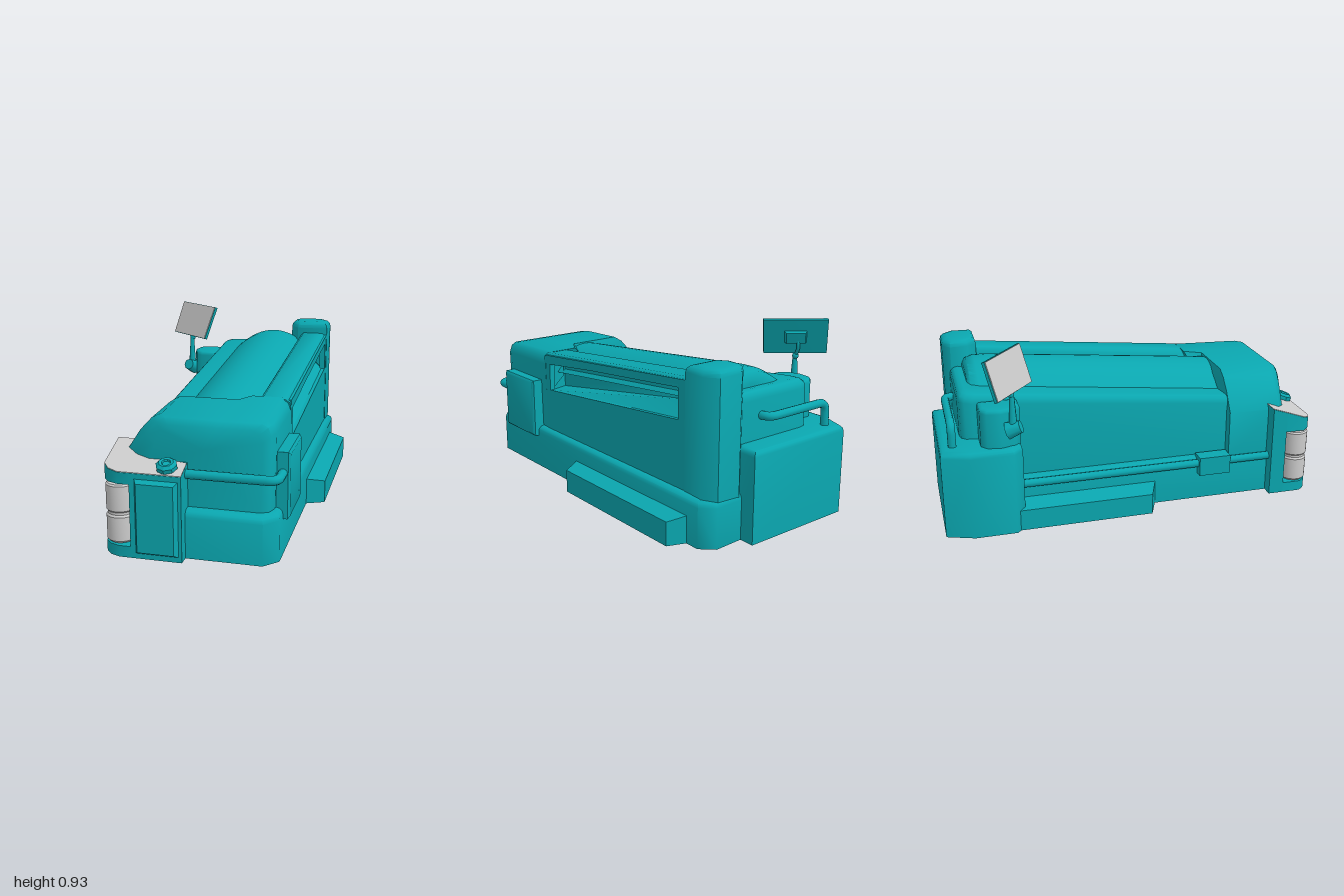
import * as THREE from 'three';
import { toCreasedNormals } from 'three/addons/utils/BufferGeometryUtils.js';

const teal = new THREE.MeshStandardMaterial({ color: 0x0aa6af, side: THREE.DoubleSide });
const grey = new THREE.MeshStandardMaterial({ color: 0xcccccc, side: THREE.DoubleSide });

// Skin joining closed rings of equal point count, with optional end caps
function loft(rings, capStart = true, capEnd = true) {
  const pos = [];
  const n = rings[0].length;
  const tri = (a, b, c) => pos.push(...a, ...b, ...c);
  for (let r = 0; r < rings.length - 1; r++) {
    for (let i = 0; i < n; i++) {
      const j = (i + 1) % n;
      const a = rings[r], b = rings[r + 1];
      tri(a[i], a[j], b[j]);
      tri(a[i], b[j], b[i]);
    }
  }
  const cap = (ring, flip) => {
    const c = [0, 1, 2].map(k => ring.reduce((s, p) => s + p[k], 0) / n);
    ring.forEach((p, i) => (flip ? tri(c, ring[(i + 1) % n], p) : tri(c, p, ring[(i + 1) % n])));
  };
  if (capStart) cap(rings[0], true);
  if (capEnd) cap(rings[rings.length - 1], false);
  const g = new THREE.BufferGeometry();
  g.setAttribute('position', new THREE.Float32BufferAttribute(pos, 3));
  return toCreasedNormals(g, 0.85);
}

// Plan outline [x, z] raised through levels [height or height(z), inset]; open underneath
function shell(outline, levels, capBottom = false) {
  const mid = [0, 1].map(k => {
    const v = outline.map(p => p[k]);
    const lo = Math.min(...v), hi = Math.max(...v);
    return { c: (lo + hi) / 2, h: (hi - lo) / 2 };
  });
  const move = (v, m, inset) => m.c + (v - m.c) * (1 - inset / m.h);
  return loft(levels.map(([y, inset]) => outline.map(([x, z]) => [
    move(x, mid[0], inset), typeof y === 'function' ? y(z) : y, move(z, mid[1], inset)])), capBottom);
}

// Soft top edge for shells
const rounded = (y0, y1, r) => [[y0, 0], [y1 - r, 0], [y1 - r * 0.5, r * 0.13], [y1 - r * 0.13, r * 0.5], [y1, r]];

// Pipe through points with rounded bends
function pipe(points, radius, bend = 0.05) {
  const v = points.map(p => new THREE.Vector3(...p));
  const path = new THREE.CurvePath();
  let last = v[0];
  for (let i = 1; i < v.length - 1; i++) {
    const a = v[i].clone().add(v[i - 1].clone().sub(v[i]).setLength(bend));
    const b = v[i].clone().add(v[i + 1].clone().sub(v[i]).setLength(bend));
    path.add(new THREE.LineCurve3(last, a));
    path.add(new THREE.QuadraticBezierCurve3(a, v[i], b));
    last = b;
  }
  path.add(new THREE.LineCurve3(last, v[v.length - 1]));
  return new THREE.TubeGeometry(path, 60, radius, 10);
}

const points2 = list => list.map(p => new THREE.Vector2(...p));

export function createModel() {
  const model = new THREE.Group();
  const add = (name, geometry, material = teal, at = [0, 0, 0]) => {
    const m = new THREE.Mesh(geometry, material);
    m.name = name;
    m.position.set(...at);
    model.add(m);
    return m;
  };

  // Hollow base
  add('base', shell([[-0.3, -0.9], [0.38, -0.93], [0.445, -0.87], [0.445, 0.85], [0.38, 0.92],
    [-0.22, 0.92], [-0.23, 0.83], [-0.3, 0.81]], rounded(0, 0.235, 0.035)));

  // Side skirts
  const skirt = (inner, outer, y) => loft([[0.11, 0.06], [-0.8, -0.76]].map(([zi, zo]) =>
    [[inner, 0, zi], [outer, 0, zo], [outer, y, zo], [inner, y + 0.02, zi]]));
  add('leftSkirt', skirt(0.43, 0.537, 0.12));
  add('rightSkirt', skirt(-0.29, -0.41, 0.11));

  // Rear box wrapping the rear right corner
  add('rearBox', shell([[0.225, -0.89], [0.225, -1], [-0.38, -1], [-0.43, -0.86], [-0.43, -0.65],
    [-0.38, -0.6], [-0.29, -0.6], [-0.28, -0.87]], rounded(0, 0.455, 0.03)));

  // Front hood block, sloping at its right shoulder and stepped back at its left
  const section = [[-0.29, 0.22], [-0.29, 0.47], [-0.225, 0.57], [-0.17, 0.63], [-0.12, 0.655],
    [0.17, 0.655], [0.22, 0.655], [0.37, 0.655], [0.4, 0.64], [0.415, 0.6], [0.41, 0.22]];
  const frontRing = (z, l, r, drop) => section.map(([x, y]) => [
    x < 0 ? x + l * Math.min(1, -x / 0.29) : x - r * Math.min(1, x / 0.4), y > 0.4 ? y - drop : y, z]);
  add('frontHood', loft([
    section.map(([x, y]) => [x, y + (y > 0.65 ? 0.006 : 0), x >= 0.2 ? 0.43 : 0.52]),
    frontRing(0.8, 0, 0, 0.005), frontRing(0.845, 0.06, 0.015, 0.012), frontRing(0.87, 0.12, 0.05, 0.04)]));

  // Rear hood body: sloping deck with rounded rim and rear corner
  const deck = z => 0.555 + (0.52 - z) * 0.098;
  const sill = z => 0.66 + (0.42 - z) * 0.0957;
  add('rearBody', shell([[-0.25, 0.56], [-0.25, -0.82], [-0.24, -0.86], [-0.22, -0.882], [-0.18, -0.89],
    [0.28, -0.89], [0.28, 0.56]],
  [[0.2, 0], [z => deck(z) - 0.045, 0], [z => deck(z) - 0.02, 0.005], [z => deck(z) - 0.005, 0.02], [deck, 0.04]]));

  // Arched engine cover with a rounded tail
  const arch = [[0.54, 1], [0.1, 1], [-0.3, 1], [-0.7, 1], [-0.77, 0.95], [-0.81, 0.8], [-0.825, 0.5]];
  add('engineCover', loft(arch.map(([z, s]) => Array.from({ length: 17 }, (_, i) => {
    const t = i / 8 - 1;
    return [0.09 + 0.24 * t * (0.7 + 0.3 * s), deck(z) - 0.025 + 0.125 * s * (1 - t * t), z];
  }))));

  // Left side panel with a long recess
  const side = new THREE.Shape(points2([[0.43, 0.22], [0.43, 0.65], [-0.78, sill(-0.78) - 0.01], [-0.78, 0.22]]));
  side.holes.push(new THREE.Path(points2([[0.39, 0.46], [-0.69, 0.565], [-0.69, 0.73], [0.39, 0.605]])));
  const sideGeo = new THREE.ExtrudeGeometry(side, { depth: 0.03, bevelEnabled: false });
  sideGeo.rotateY(-Math.PI / 2);
  add('sidePanel', sideGeo, teal, [0.413, 0, 0]);
  add('recessLining', loft([[0.4, 0.455, 0.465, 0.625], [-0.7, 0.56, 0.64, 0.74]].map(([z, a, b, c]) =>
    [[0.4, a, z], [0.31, b, z], [0.31, c, z], [0.3, c, z], [0.3, a, z]])));

  // Raised sill above the recess
  add('sideSill', loft([0.45, -0.78].map(z => {
    const y = sill(z);
    return [[0.255, y - 0.13, z], [0.255, y - 0.02, z], [0.275, y, z], [0.385, y, z],
      [0.408, y - 0.015, z], [0.413, y - 0.04, z], [0.413, y - 0.05, z], [0.29, y - 0.05, z], [0.29, y - 0.13, z]];
  })));

  // Rear corner column
  add('rearColumn', shell([[0.24, -0.74], [0.415, -0.74], [0.42, -0.86], [0.37, -0.92], [0.24, -0.92],
    [0.195, -0.88], [0.195, -0.79]], rounded(0.2, 0.835, 0.035)));

  // Side box
  add('sideBox', loft([[0.4, 0], [0.465, 0], [0.475, 0.012]].map(([x, i]) =>
    [[x, 0.18 + i, 0.78 - i], [x, 0.5 - i, 0.78 - i], [x, 0.5 - i, 0.48 + i], [x, 0.18 + i, 0.48 + i]])));

  // Front corner housing with a lamp niche and a top sloping down to the front
  const slope = z => 0.41 + (0.975 - z) * 0.35;
  add('cornerHousing', shell([[-0.225, 0.8], [-0.225, 0.975], [0.02, 0.975], [0.02, 0.8]], [[0, 0], [slope, 0]]));
  add('nicheBack', shell([[-0.36, 0.74], [-0.36, 0.82], [-0.22, 0.86], [-0.22, 0.74]], [[0, 0], [slope, 0]]));
  const corner = [[-0.36, 0.74], [-0.36, 0.92], [-0.33, 0.955], [-0.28, 0.975], [-0.2, 0.975], [-0.2, 0.74]];
  add('nicheFloor', shell(corner, [[0, 0], [0.055, 0]]));
  add('nicheTop', shell(corner, [[0.355, 0], [slope, 0]], true));
  add('housingPanel', loft([[0.965, 0], [1, 0.02]].map(([z, i]) =>
    [[-0.205 + i, 0.02 + i, z], [0.01 - i, 0.02 + i, z], [0.01 - i, 0.39 - i, z], [-0.205 + i, 0.39 - i, z]])));

  // Grey plate on the housing
  const plan = [[-0.36, 0.735], [-0.36, 0.92], [-0.33, 0.955], [-0.28, 0.975], [-0.13, 0.975],
    [0.02, 0.975], [0.02, 0.88], [-0.13, 0.86], [-0.28, 0.8], [-0.28, 0.735]];
  add('housingPlate', shell(plan, [[z => slope(z) + 0.001, 0], [z => slope(z) + 0.004, 0]]), grey);

  // Faceted filler knob, square to the plate
  const knob = new THREE.LatheGeometry(points2([[0, 0], [0.04, 0], [0.05, 0.012], [0.05, 0.032], [0.035, 0.045],
    [0.022, 0.043], [0.018, 0.035], [0, 0.035]]), 8);
  add('fillerKnob', toCreasedNormals(knob, 0.4), teal, [-0.06, slope(0.92) - 0.008, 0.92]).rotation.x = 0.34;

  // Lamp
  const lamp = new THREE.LatheGeometry(points2([[0, 0.058], [0.055, 0.058], [0.067, 0.07], [0.067, 0.185],
    [0.06, 0.195], [0.06, 0.207], [0.067, 0.215], [0.067, 0.335], [0.06, 0.343], [0, 0.343]]), 24);
  add('lamp', toCreasedNormals(lamp, 0.6), grey, [-0.295, 0, 0.9]);

  // Rails
  add('frontRail', pipe([[0, 0.4, 0.895], [0.44, 0.4, 0.895], [0.44, 0.4, 0.76]], 0.022));
  add('sideRail', pipe([[-0.31, 0.21, -0.7], [-0.31, 0.21, 0.78]], 0.021));
  add('railBracket', new THREE.BoxGeometry(0.08, 0.1, 0.17), teal, [-0.305, 0.2, 0.425]);
  add('rearHandrail', pipe([[0.08, 0.57, -0.87], [0.08, 0.57, -0.935], [-0.31, 0.57, -0.935],
    [-0.31, 0.44, -0.935]], 0.021));

  // Mirror post and arm
  add('mirrorPost', shell([[-0.24, -0.8], [-0.35, -0.8], [-0.385, -0.77], [-0.395, -0.7], [-0.37, -0.63],
    [-0.33, -0.6], [-0.24, -0.6]], rounded(0.44, 0.65, 0.02)));
  const pivot = add('mirrorPivot', new THREE.CylinderGeometry(0.032, 0.046, 0.07, 8), teal, [-0.405, 0.555, -0.64]);
  pivot.rotation.set(1.2, 0, 0.3);
  add('mirrorArm', new THREE.CylinderGeometry(0.011, 0.024, 0.2, 8), teal, [-0.402, 0.63, -0.645]);
  add('mirrorJoint', new THREE.SphereGeometry(0.017, 10, 8), teal, [-0.4, 0.73, -0.65]);
  add('mirrorStem', pipe([[-0.4, 0.73, -0.65], [-0.395, 0.78, -0.675], [-0.385, 0.84, -0.665]], 0.009, 0.02));

  // Tilted mirror: teal casing, grey glass
  const corners = [[-0.54, 0.745, -0.73], [-0.29, 0.745, -0.53], [-0.235, 0.93, -0.575], [-0.49, 0.93, -0.775]];
  const centre = [-0.389, 0.8375, -0.6525];
  const normal = new THREE.Vector3(-0.037, 0.021, 0.046).normalize().toArray();
  const plate = (scale, d) => corners.map(c => c.map((v, k) => centre[k] + (v - centre[k]) * scale + normal[k] * d));
  add('mirrorCasing', loft([plate(1, -0.016), plate(1, 0)]));
  add('mirrorGlass', loft([plate(0.98, 0), plate(0.98, 0.004)]), grey);
  add('mirrorMount', loft([plate(0.3, -0.03), plate(0.35, -0.015)]));

  return model;
}
